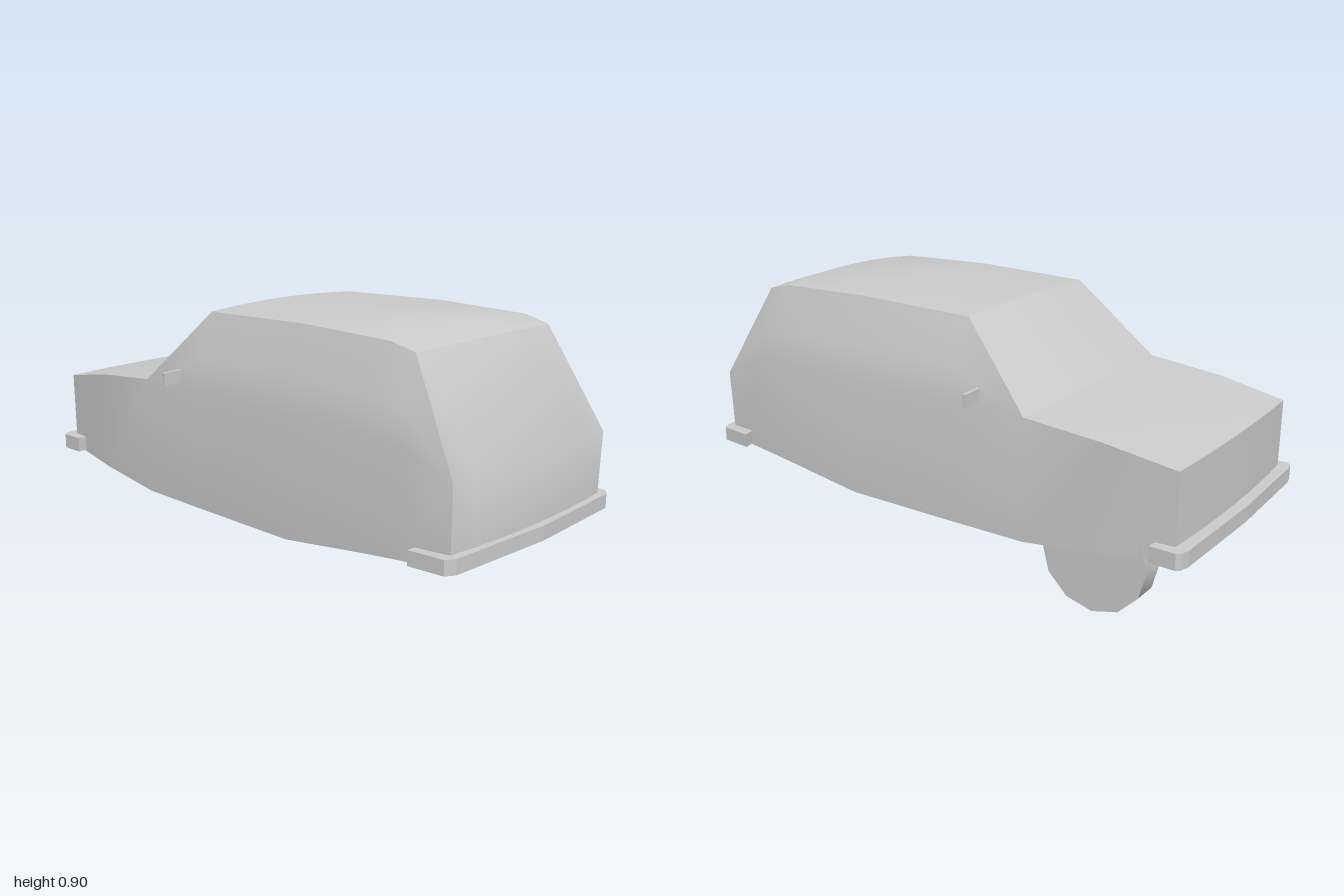
import * as THREE from 'three';
import { toCreasedNormals } from 'three/addons/utils/BufferGeometryUtils.js';

const grey = new THREE.MeshStandardMaterial({ color: 0xcccccc, side: THREE.DoubleSide });

function add(group, name, geometry) {
  const mesh = new THREE.Mesh(geometry, grey);
  mesh.name = name;
  group.add(mesh);
  return mesh;
}

// Stations along the car: bottom, belt and top as [z, y, half width], roof crown, end bulge
const stations = [
  { b: [0.945, 0.245, 0.4], s: [0.95, 0.51, 0.405], t: [0.95, 0.51, 0.405], crown: 0, bulge: 0.025 },
  { b: [0.77, 0.235, 0.418], s: [0.77, 0.58, 0.418], t: [0.755, 0.853, 0.345], crown: 0.008, bulge: 0.02 },
  { b: [0.62, 0.22, 0.426], s: [0.62, 0.6, 0.426], t: [0.66, 0.876, 0.35], crown: 0.02, bulge: 0.01 },
  { b: [0.3, 0.18, 0.435], s: [0.3, 0.605, 0.435], t: [0.3, 0.885, 0.354], crown: 0.015, bulge: 0 },
  { b: [-0.15, 0.18, 0.437], s: [-0.15, 0.605, 0.437], t: [-0.15, 0.872, 0.35], crown: 0.013, bulge: -0.01 },
  { b: [-0.42, 0.18, 0.435], s: [-0.42, 0.605, 0.435], t: [-0.42, 0.605, 0.435], crown: 0.004, bulge: -0.01 },
  { b: [-0.7, 0.212, 0.426], s: [-0.7, 0.578, 0.426], t: [-0.7, 0.578, 0.426], crown: 0.004, bulge: 0 },
  { b: [-0.945, 0.245, 0.405], s: [-0.945, 0.535, 0.407], t: [-0.945, 0.535, 0.407], crown: 0.004, bulge: -0.015 },
];
const across = [1, 0.75, 0.5, 0.25, 0, -0.25, -0.5, -0.75, -1];

// Closed cross-section: right flank, over the top, left flank, back along the floor
function ring({ b, s, t, crown, bulge }) {
  const flank = (side) => {
    const out = t[1] > s[1] ? 0.008 : 0;
    const mid = s.map((v, i) => v + (t[i] - v) * 0.4);
    return [[side * s[2], s[1], s[0]], [side * (mid[2] + out), mid[1], mid[0]]];
  };
  const row = ([z, y, w], rise) => across.map((f) => [f * w, y + rise * (1 - f * f), z + bulge * (1 - f * f)]);
  return {
    top: row(t, crown), floor: row(b, 0), left: flank(1), right: flank(-1),
  };
}

function bodyGeometry() {
  const positions = [];
  const tri = (a, b, c) => {
    const [p, q, r] = [a, b, c].map((v) => new THREE.Vector3(...v));
    if (q.sub(p).cross(r.sub(p)).length() > 1e-7) positions.push(...a, ...b, ...c);
  };
  const quad = (a, b, c, d) => { tri(a, b, c); tri(a, c, d); };

  const rings = stations.map(ring);
  const loops = rings.map((r) => [
    r.floor[0], ...r.left, ...r.top, ...[...r.right].reverse(), ...[...r.floor].reverse(),
  ]);
  // Skin between neighbouring sections
  for (let k = 0; k < loops.length - 1; k++) {
    const p = loops[k], q = loops[k + 1];
    for (let i = 0; i < p.length - 1; i++) quad(p[i], q[i], q[i + 1], p[i + 1]);
  }
  // Upright end panels
  const first = rings[0], last = rings[rings.length - 1];
  for (let i = 0; i < across.length - 1; i++) {
    quad(first.floor[i], first.top[i], first.top[i + 1], first.floor[i + 1]);
    quad(last.floor[i + 1], last.top[i + 1], last.top[i], last.floor[i]);
  }
  const geometry = new THREE.BufferGeometry();
  geometry.setAttribute('position', new THREE.Float32BufferAttribute(positions, 3));
  return toCreasedNormals(geometry, 0.6);
}

// Wrap-around bumper from half outlines [x, z], mirrored and extruded upward
function bumperGeometry(outer, inner, bottom, top) {
  const mirror = (pts) => [...pts].reverse().map(([x, z]) => [-x, z]);
  const outline = [...outer, ...mirror(outer).slice(1), ...inner.map(([x, z]) => [-x, z]), ...mirror(mirror(inner).map(([x, z]) => [x, z])).slice(1)];
  const shape = new THREE.Shape(outline.map(([x, z]) => new THREE.Vector2(x, z)));
  const geometry = new THREE.ExtrudeGeometry(shape, { depth: top - bottom, bevelEnabled: false });
  return geometry.rotateX(Math.PI / 2).translate(0, top, 0);
}

export function createModel() {
  const car = new THREE.Group();
  car.name = 'car';

  add(car, 'body', bodyGeometry());

  // Outlines run from the arm tip to the centre line, inner ones likewise
  add(car, 'tailBumper', bumperGeometry(
    [[0.455, 0.83], [0.442, 0.955], [0.41, 0.975], [0, 0.998]],
    [[0.425, 0.83], [0.405, 0.935], [0, 0.95]], 0.245, 0.295));
  add(car, 'hoodBumper', bumperGeometry(
    [[0.445, -0.875], [0.447, -0.965], [0.435, -0.98], [0.4, -0.988], [0, -1]],
    [[0.408, -0.875], [0.403, -0.935], [0, -0.95]], 0.24, 0.295));

  // Door mirrors: thin plates, slightly taller at the outer end
  for (const side of [1, -1]) {
    const plate = new THREE.Shape([[0.415, 0.622], [0.5, 0.62], [0.5, 0.664], [0.425, 0.667]]
      .map(([x, y]) => new THREE.Vector2(side * x, y)));
    const geometry = new THREE.ExtrudeGeometry(plate, { depth: 0.012, bevelEnabled: false });
    add(car, side > 0 ? 'leftMirror' : 'rightMirror', geometry.translate(0, 0, -0.246));
  }

  // The single wheel, under the hood end
  const tyre = new THREE.CylinderGeometry(0.187, 0.187, 0.09, 12).rotateZ(Math.PI / 2);
  add(car, 'wheel', toCreasedNormals(tyre, 0.7)).position.set(0.37, 0.187, -0.672);

  return car;
}
